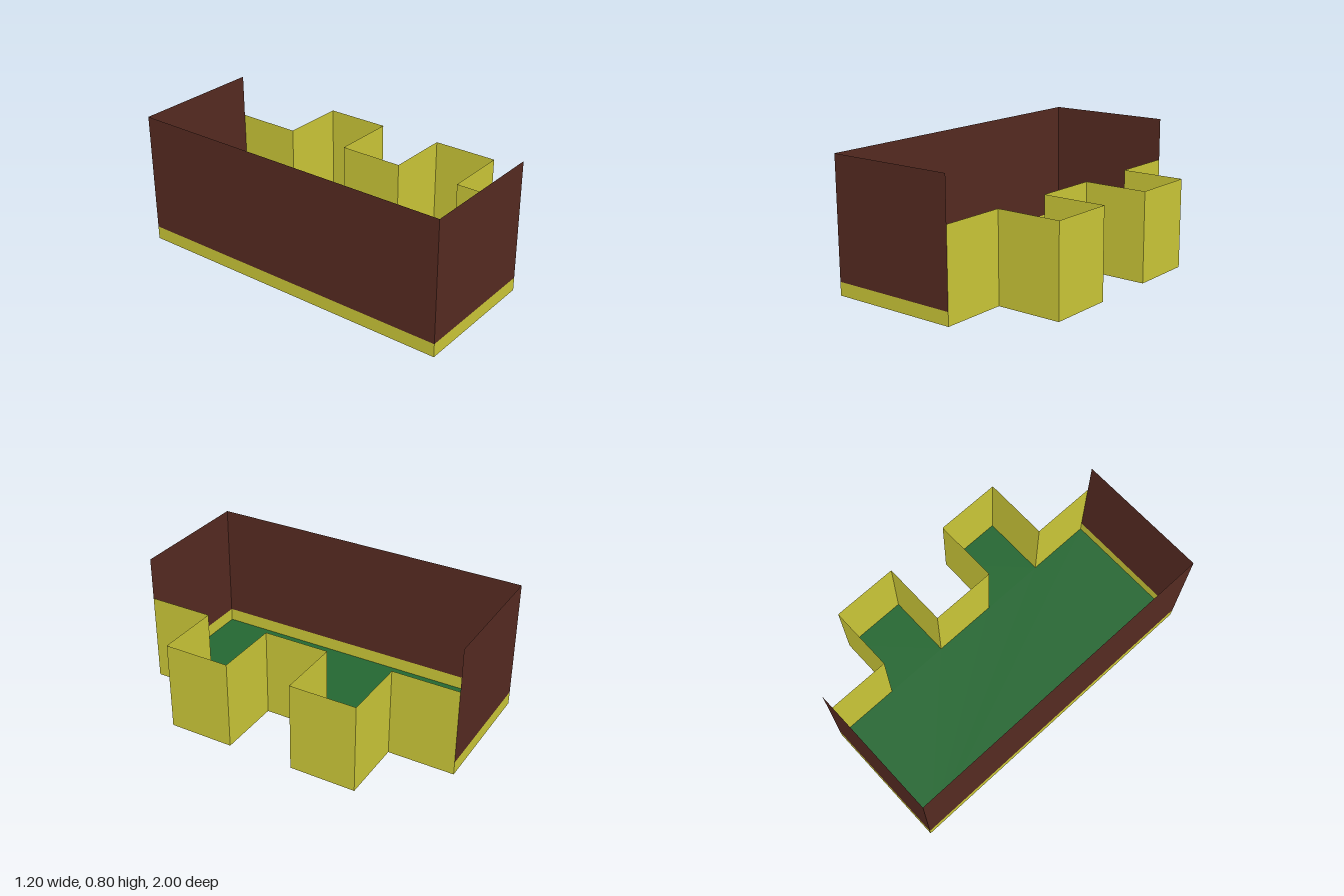
import * as THREE from 'three';

const paint = (color) => new THREE.MeshStandardMaterial({ color, side: THREE.DoubleSide, flatShading: true });

export function createModel() {
  const model = new THREE.Group();
  const yellow = paint(0xcac637);
  const brown = paint(0x552a21);
  const green = paint(0x246631);

  // Plan corners [x, z]: the stepped side with two bays, then the three straight sides
  const bays = [
    [0.2, 1], [0.2, 0.6], [0.6, 0.6], [0.6, 0.2], [0.2, 0.2],
    [0.2, -0.2], [0.6, -0.2], [0.6, -0.6], [0.2, -0.6], [0.2, -1],
  ];
  const straight = [[0.2, -1], [-0.6, -1], [-0.6, 1], [0.2, 1]];

  // Thin upright panels along a path, facing outward
  function addWalls(name, path, y0, y1, material) {
    const group = new THREE.Group();
    group.name = name;
    for (let i = 0; i < path.length - 1; i++) {
      const [ax, az] = path[i];
      const [bx, bz] = path[i + 1];
      const panel = new THREE.Mesh(
        new THREE.PlaneGeometry(Math.hypot(bx - ax, bz - az), y1 - y0), material);
      panel.name = name + 'Panel' + (i + 1);
      panel.position.set((ax + bx) / 2, (y0 + y1) / 2, (az + bz) / 2);
      panel.rotation.y = Math.atan2(az - bz, bx - ax);
      group.add(panel);
    }
    model.add(group);
  }

  addWalls('bayWall', bays, 0, 0.54, yellow);
  addWalls('baseboard', straight, 0, 0.08, yellow);
  addWalls('tallWall', straight, 0.08, 0.8, brown);

  // Floor covering the whole plan
  const outline = [...bays, ...straight.slice(1, 3)].map(([x, z]) => new THREE.Vector2(x, -z));
  const floor = new THREE.Mesh(
    new THREE.ShapeGeometry(new THREE.Shape(outline)).rotateX(-Math.PI / 2), green);
  floor.name = 'floor';
  model.add(floor);

  return model;
}
